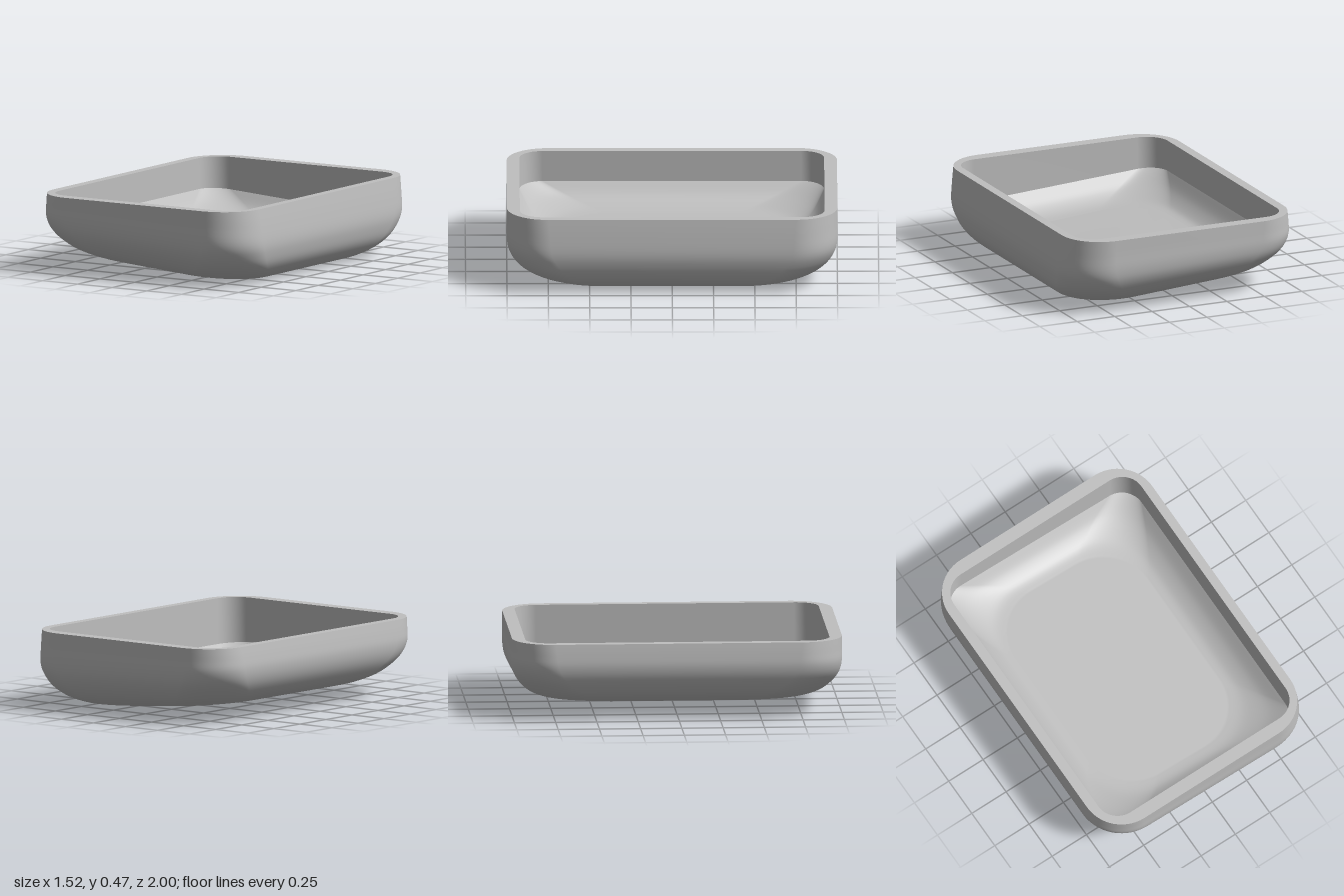
import * as THREE from 'three';

const ARC = 14; // segments per rounded corner

// Rounded-rectangle loop. Ring: [left extent, right extent, half depth, corner radius, y at left, y at right]
function ringPoints([xl, xr, hz, r, yl, yr]) {
  const cx = (xr - xl) / 2, hx = (xr + xl) / 2;
  const rad = Math.min(r, hx, hz);
  const pts = [];
  [[1, 1], [-1, 1], [-1, -1], [1, -1]].forEach(([sx, sz], q) => {
    for (let i = 0; i <= ARC; i++) {
      const a = (q + i / ARC) * Math.PI / 2;
      const x = cx + sx * (hx - rad) + rad * Math.cos(a);
      const z = sz * (hz - rad) + rad * Math.sin(a);
      const t = hx > 0 ? (x + xl) / (xl + xr) : 0.5;
      pts.push(x, yl + (yr - yl) * t, z);
    }
  });
  return pts;
}

// Smoothly adds rings between the given ones (Catmull-Rom)
function refine(rings, n) {
  const out = [];
  for (let i = 0; i < rings.length - 1; i++) {
    const p = [rings[Math.max(i - 1, 0)], rings[i], rings[i + 1], rings[Math.min(i + 2, rings.length - 1)]];
    for (let k = 0; k < n; k++) {
      const t = k / n;
      out.push(p[1].map((b, j) => {
        const a = p[0][j], c = p[2][j], d = p[3][j];
        return b + 0.5 * t * (c - a + t * (2 * a - 5 * b + 4 * c - d + t * (3 * (b - c) + d - a)));
      }));
    }
  }
  out.push(rings[rings.length - 1]);
  return out;
}

// Skins a list of rings with smooth normals
function skin(name, rings, material) {
  const count = 4 * (ARC + 1), index = [];
  for (let i = 0; i < rings.length - 1; i++) {
    for (let j = 0; j < count; j++) {
      const k = (j + 1) % count;
      const a = i * count + j, b = i * count + k, c = a + count, d = b + count;
      index.push(a, b, c, b, d, c);
    }
  }
  const geo = new THREE.BufferGeometry();
  geo.setAttribute('position', new THREE.Float32BufferAttribute(rings.flatMap(ringPoints), 3));
  geo.setIndex(index);
  geo.computeVertexNormals();
  const mesh = new THREE.Mesh(geo, material);
  mesh.name = name;
  return mesh;
}

export function createModel() {
  const grey = new THREE.MeshStandardMaterial({ color: 0xbfbfbf });
  grey.name = 'plain grey';
  const group = new THREE.Group();
  group.name = 'tray';

  // Outer shell, rim downwards, ending in the tilted underside
  const outer = [
    [0.745, 0.735, 1.0, 0.25, 0.48, 0.48],
    [0.755, 0.748, 1.0, 0.26, 0.41, 0.38],
    [0.76, 0.757, 1.0, 0.27, 0.34, 0.27],
    [0.747, 0.748, 0.985, 0.29, 0.272, 0.195],
    [0.715, 0.722, 0.945, 0.31, 0.21, 0.122],
    [0.66, 0.67, 0.88, 0.33, 0.15, 0.06],
    [0.58, 0.6, 0.79, 0.34, 0.108, 0.02],
    [0.5, 0.52, 0.7, 0.34, 0.088, 0.005],
  ];
  const underside = [
    [0.25, 0.26, 0.35, 0.17, 0.067, 0.024],
    [0, 0, 0, 0, 0.045, 0.045],
  ];
  group.add(skin('outerShell', [...refine(outer, 4), ...underside], grey));

  // Flat rim
  const rimInner = [0.685, 0.68, 0.922, 0.14, 0.48, 0.48];
  group.add(skin('rim', [rimInner, outer[0]], grey));

  // Upright inner wall, lower edge following the tilt
  const wallFoot = [0.685, 0.68, 0.922, 0.14, 0.29, 0.2];
  group.add(skin('innerWall', [wallFoot, rimInner], grey));

  // Dished inner floor
  const dish = [
    [0.5, 0.46, 0.7, 0.32, 0.145, 0.067],
    [0.56, 0.53, 0.78, 0.31, 0.16, 0.078],
    [0.63, 0.61, 0.86, 0.24, 0.215, 0.125],
    wallFoot,
  ];
  const floor = [
    [0, 0, 0, 0, 0.105, 0.105],
    [0.25, 0.23, 0.35, 0.16, 0.125, 0.086],
  ];
  group.add(skin('innerFloor', [...floor, ...refine(dish, 5)], grey));
  return group;
}
